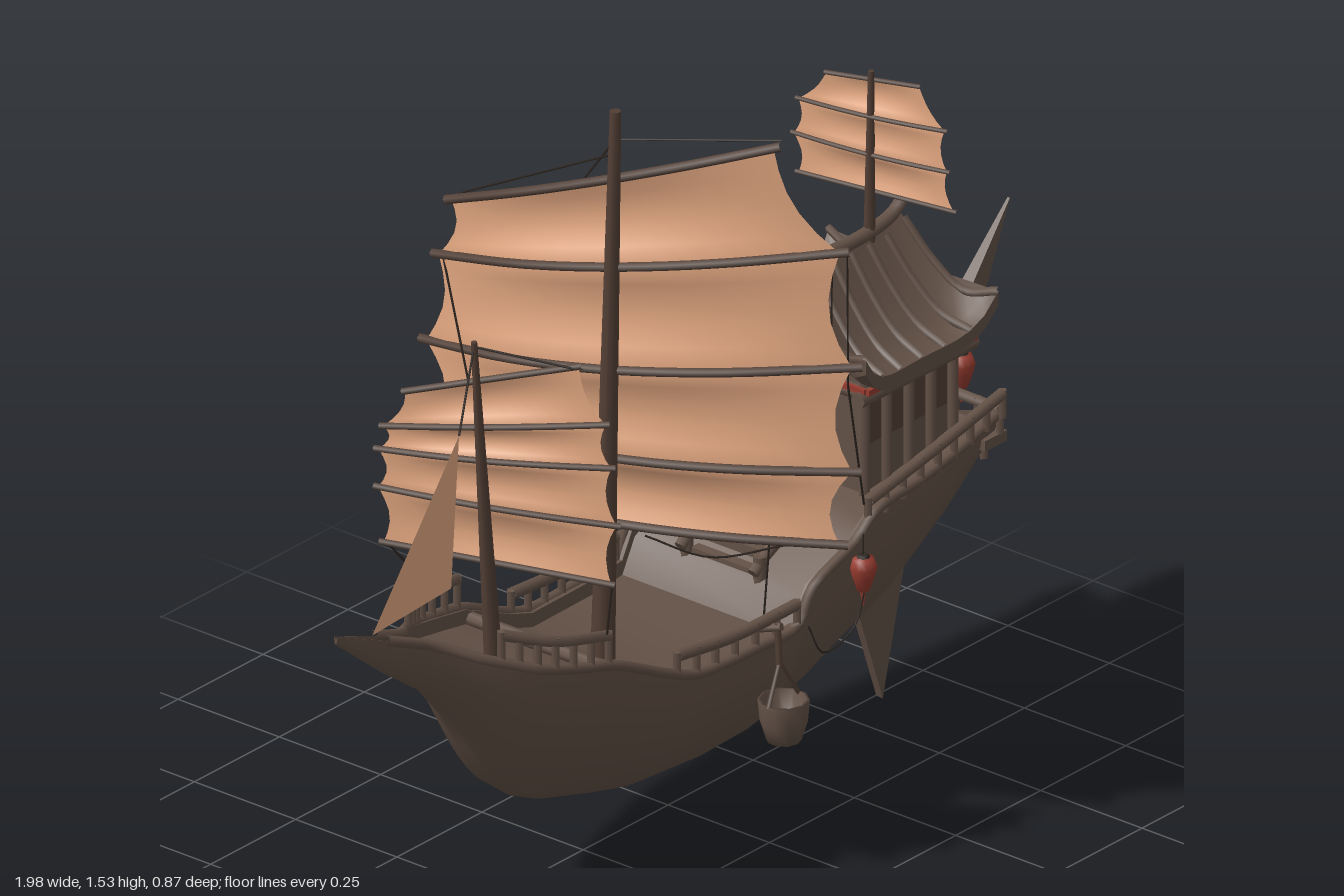
import * as THREE from 'three';
import { toCreasedNormals } from 'three/addons/utils/BufferGeometryUtils.js';

const V = (x, y, z) => new THREE.Vector3(x, y, z);
const material = (name, color, side = THREE.FrontSide) => {
  const m = new THREE.MeshStandardMaterial({ color, side });
  m.name = name;
  return m;
};

export function createModel() {
  const root = new THREE.Group();
  root.name = 'junkShip';
  const wood = material('hull wood', 0x645247);
  const darkWood = material('spar wood', 0x523f35);
  const cloth = material('sail cloth', 0xe6aa83, THREE.DoubleSide);
  const red = material('lantern red', 0x963b2f);
  const black = material('rope', 0x2e2621);

  const group = (name, parent) => {
    const g = new THREE.Group();
    g.name = name;
    parent.add(g);
    return g;
  };
  // the centre plane of the ship lies slightly to the +z side
  const ship = group('ship', root);
  ship.position.z = 0.01;
  const add = (name, geo, mat, parent = ship) => {
    const mesh = new THREE.Mesh(geo, mat);
    mesh.name = name;
    parent.add(mesh);
    return mesh;
  };
  const box = (name, x0, x1, y0, y1, z0, z1, mat, parent) => add(name,
    new THREE.BoxGeometry(x1 - x0, y1 - y0, z1 - z0).translate((x0 + x1) / 2, (y0 + y1) / 2, (z0 + z1) / 2), mat, parent);
  // tapered round bar between two points
  const bar = (name, a, b, r0, r1, mat, parent, sides = 7) => {
    const d = b.clone().sub(a);
    const m = add(name, new THREE.CylinderGeometry(r1, r0, d.length(), sides), mat, parent);
    m.position.copy(a).addScaledVector(d, 0.5);
    m.quaternion.setFromUnitVectors(V(0, 1, 0), d.normalize());
  };
  const tube = (name, pts, r, mat, parent, sides = 6) =>
    add(name, new THREE.TubeGeometry(new THREE.CatmullRomCurve3(pts), pts.length * 4, r, sides), mat, parent);
  // closed skin over loops that run +z, bottom, -z, top, stacked along +x
  const loft = (loops, crease) => {
    const n = loops[0].length, pos = loops.flat().flatMap(p => [p.x, p.y, p.z]), idx = [];
    for (let i = 0; i < loops.length - 1; i++) for (let j = 0; j < n; j++) {
      const a = i * n + j, b = i * n + (j + 1) % n;
      idx.push(a, b, a + n, b, b + n, a + n);
    }
    [0, loops.length - 1].forEach((r, end) => {
      const c = loops[r].reduce((s, p) => s.add(p), V(0, 0, 0)).divideScalar(n);
      const k = pos.length / 3;
      pos.push(c.x, c.y, c.z);
      for (let j = 0; j < n; j++) {
        const a = r * n + j, b = r * n + (j + 1) % n;
        idx.push(k, end ? a : b, end ? b : a);
      }
    });
    const g = new THREE.BufferGeometry();
    g.setAttribute('position', new THREE.Float32BufferAttribute(pos, 3));
    g.setIndex(idx);
    return toCreasedNormals(g, crease);
  };

  // hull stations: x, keel height, sheer height, half width
  const stations = [
    [-0.99, 0.725, 0.742, 0.004], [-0.86, 0.62, 0.69, 0.016], [-0.75, 0.54, 0.645, 0.04], [-0.67, 0.45, 0.605, 0.1],
    [-0.62, 0.37, 0.585, 0.13], [-0.57, 0.285, 0.565, 0.157], [-0.48, 0.215, 0.54, 0.178], [-0.4, 0.178, 0.52, 0.19],
    [-0.25, 0.135, 0.45, 0.205], [-0.18, 0.118, 0.425, 0.21], [0, 0.105, 0.42, 0.22], [0.1, 0.11, 0.425, 0.225],
    [0.14, 0.117, 0.49, 0.228], [0.26, 0.145, 0.545, 0.233], [0.32, 0.165, 0.59, 0.235], [0.45, 0.245, 0.605, 0.235],
    [0.57, 0.38, 0.625, 0.233], [0.69, 0.53, 0.65, 0.225]];
  const hullLoops = stations.map(([x, k, t, w]) => {
    const loop = [], N = 20, vee = 1.45 - 0.8 * THREE.MathUtils.smoothstep(x, 0.3, 0.69);
    for (let j = 0; j <= N; j++) {
      const a = (1 - 2 * j / N) * Math.PI / 2, s = Math.abs(Math.sin(a));
      loop.push(V(x, k + (t - k) * (1 - Math.cos(a)), Math.sign(a) * w * Math.pow(s, vee)));
    }
    const inner = w * 0.92, deck = t - Math.min(0.03, (t - k) * 0.3);
    loop.push(V(x, t, -inner), V(x, deck, -inner), V(x, deck, inner), V(x, t, inner));
    return loop;
  });
  add('hull', loft(hullLoops, 0.7), wood);
  for (const s of [1, -1]) tube('gunwale', stations.slice(1).map(([x, , t, w]) => V(x, t, s * w)), 0.011, wood);

  // railings: top bar and posts along a path
  const railing = (name, pts, height, posts) => {
    const g = group(name, ship), path = new THREE.CatmullRomCurve3(pts), up = V(0, height, 0);
    tube('topRail', pts.map(p => p.clone().add(up)), 0.012, wood, g);
    for (let i = 0; i <= posts; i++) {
      const p = path.getPoint(i / posts);
      bar('post', p, p.clone().add(up).add(V(0, 0.008, 0)), 0.01, 0.01, wood, g, 4);
    }
  };
  for (const s of [1, -1]) {
    railing('foreRailing', [V(-0.64, 0.585, s * 0.115), V(-0.54, 0.55, s * 0.165), V(-0.41, 0.52, s * 0.187)], 0.065, 6);
    railing('waistRailing', [V(-0.23, 0.435, s * 0.205), V(-0.07, 0.42, s * 0.214), V(0.1, 0.425, s * 0.224)], 0.045, 6);
    railing('aftRailing', [V(0.3, 0.565, s * 0.232), V(0.5, 0.605, s * 0.236), V(0.69, 0.645, s * 0.236)], 0.05, 8);
  }
  railing('sternRailing', [V(0.69, 0.61, 0.23), V(0.7, 0.605, 0), V(0.69, 0.61, -0.23)], 0.05, 8);
  railing('sternGallery', [V(0.69, 0.545, 0.19), V(0.695, 0.54, 0), V(0.69, 0.545, -0.19)], 0.055, 8);
  box('sternSill', 0.64, 0.705, 0.59, 0.612, -0.235, 0.235, wood);
  bar('foredeckBeam', V(-0.39, 0.5, -0.17), V(-0.39, 0.5, 0.17), 0.014, 0.014, wood);
  // pale cloth laid over the after rail
  bar('railCloth', V(0.33, 0.634, -0.237), V(0.56, 0.678, -0.239), 0.008, 0.006, cloth);

  // ladder to the after deck
  for (let i = 0; i < 6; i++)
    box('step', 0.15 + i * 0.034, 0.185 + i * 0.034, 0.42 + i * 0.025, 0.475 + i * 0.025, -0.08, 0.08, wood);
  for (const s of [1, -1]) {
    bar('ladderRail', V(0.13, 0.48, s * 0.09), V(0.36, 0.64, s * 0.09), 0.012, 0.012, wood);
    bar('ladderPost', V(0.15, 0.4, s * 0.09), V(0.15, 0.51, s * 0.09), 0.013, 0.013, wood);
  }

  // after cabin, its walls rising into the gable
  const cabin = group('cabin', ship);
  const wall = new THREE.Shape([[-0.145, 0.55], [0.145, 0.55], [0.145, 0.815], [0, 0.945], [-0.145, 0.815]].map(p => new THREE.Vector2(...p)));
  add('walls', new THREE.ExtrudeGeometry(wall, { depth: 0.25, bevelEnabled: false }).rotateY(Math.PI / 2).translate(0.39, 0, 0), wood, cabin);
  for (const s of [1, -1]) {
    for (let i = 0; i < 5; i++) {
      const x = 0.385 + i * 0.065;
      bar('wallPost', V(x, 0.57, s * 0.152), V(x, 0.82, s * 0.152), 0.011, 0.011, wood, cabin, 6);
      if (i < 4) box('windowPanel', x + 0.015, x + 0.05, 0.67, 0.76, s * 0.147 - 0.003, s * 0.147 + 0.003, darkWood, cabin);
    }
    bar('sideBeam', V(0.35, 0.785, s * 0.165), V(0.69, 0.785, s * 0.165), 0.016, 0.016, wood, cabin);
    box('redTrim', 0.36, 0.68, 0.796, 0.808, s * 0.18 - 0.004, s * 0.18 + 0.004, red, cabin);
    const x = s > 0 ? 0.65 : 0.38;
    bar('endBeam', V(x, 0.785, -0.165), V(x, 0.785, 0.165), 0.016, 0.016, wood, cabin);
    box('endTrim', x + s * 0.02 - 0.004, x + s * 0.02 + 0.004, 0.796, 0.808, -0.175, 0.175, red, cabin);
    box('endPanel', x - s * 0.012, x - s * 0.006, 0.64, 0.75, -0.05, 0.05, darkWood, cabin);
  }

  // sweeping roof with raised corners
  const roofPoint = (u, v, drop = 0) => V(0.515 + u * (0.15 + 0.045 * Math.abs(v)),
    0.82 + 0.18 * Math.pow(1 - Math.abs(v), 1.7) + 0.055 * u ** 4 * v ** 4 + 0.02 * u ** 6 - drop, v * (0.185 + 0.025 * u * u));
  const roofLoops = [];
  for (let i = 0; i <= 12; i++) {
    const loop = [];
    for (let k = 0; k <= 12; k++) loop.push(roofPoint(i / 6 - 1, 1 - k / 6, 0.03));
    for (let k = 0; k <= 12; k++) loop.push(roofPoint(i / 6 - 1, k / 6 - 1));
    roofLoops.push(loop);
  }
  add('roof', loft(roofLoops, 0.6), wood, cabin);
  tube('ridge', [-1, -0.8, 0, 0.8, 1].map(u => V(0.525 + u * 0.15, 1 + 0.035 * u ** 4, 0)), 0.014, wood, cabin);
  for (const s of [1, -1]) for (let i = 0; i < 7; i++)
    tube('roofRib', [0.05, 0.35, 0.65, 1].map(v => roofPoint(i / 3 - 1, s * v)), 0.009, wood, cabin, 5);

  // flat plates in the centre plane, tapered by a rule of x
  const plate = (name, pts, half, mat) => {
    const g = new THREE.ExtrudeGeometry(new THREE.Shape(pts.map(p => new THREE.Vector2(...p))), { depth: 1, bevelEnabled: false });
    const p = g.attributes.position;
    for (let i = 0; i < p.count; i++) p.setZ(i, (p.getZ(i) - 0.5) * 2 * half(p.getX(i)));
    g.computeVertexNormals();
    add(name, g, mat);
  };
  plate('sternBoom', [[0.6, 0.58], [0.69, 0.57], [0.75, 0.62], [0.84, 0.675], [0.92, 0.775], [0.99, 0.92], [0.87, 0.79], [0.79, 0.72], [0.68, 0.685], [0.6, 0.66]],
    x => 0.003 + 0.085 * Math.max(0, 0.99 - x), wood);
  plate('rudder', [[0.57, 0.43], [0.54, 0.21], [0.61, 0.01], [0.68, 0.295], [0.62, 0.37], [0.61, 0.45]], () => 0.008, wood);
  plate('sternpost', [[0.5, 0.3], [0.56, 0.34], [0.64, 0.44], [0.71, 0.56], [0.7, 0.62], [0.62, 0.55]], () => 0.014, wood);
  bar('rudderBrace', V(0.44, 0.27, 0), V(0.56, 0.21, 0), 0.012, 0.009, wood);
  bar('rudderBrace', V(0.5, 0.33, 0), V(0.58, 0.28, 0), 0.012, 0.009, wood);

  // battened sails; each batten is +z end z, y then -z end z, y
  const sail = (name, battens, curve, billow, thick) => {
    const g = group(name, ship), sub = 5, cols = 14, rows = (battens.length - 1) * sub;
    const at = (row, c) => {
      const i = Math.min(Math.floor(row / sub), battens.length - 2), t = row / sub - i;
      const e = battens[i].map((n, k) => n + (battens[i + 1][k] - n) * t);
      const puff = Math.sin(Math.PI * t), v = 0.5 + (c - 0.5) * (1 - 0.07 * puff);
      const z = e[0] + (e[2] - e[0]) * v;
      const belly = billow * Math.sin(Math.PI * v) * (puff - 0.8 * Math.sin(Math.PI * row / rows));
      return V(curve(z) + belly, e[1] + (e[3] - e[1]) * v, z);
    };
    const geo = new THREE.PlaneGeometry(1, 1, cols, rows), p = geo.attributes.position;
    for (let r = 0, k = 0; r <= rows; r++) for (let c = 0; c <= cols; c++, k++) {
      const q = at(r, c / cols);
      p.setXYZ(k, q.x, q.y, q.z);
    }
    geo.computeVertexNormals();
    add('sailCloth', geo, cloth, g);
    battens.forEach((b, i) =>
      tube('batten', [-0.02, 0.25, 0.5, 0.75, 1.02].map(c => at(i * sub, c)), thick, darkWood, g));
  };
  sail('mainSail', [[0.28, 1.5, -0.36, 1.26], [0.39, 1.29, -0.39, 1.135], [0.41, 1.05, -0.42, 0.945], [0.41, 0.83, -0.39, 0.79], [0.39, 0.675, -0.35, 0.655]],
    z => -0.155 + 0.32 * z + 0.38 * z * z, 0.03, 0.01);
  sail('foreSail', [[0.16, 1.165, -0.16, 1.06], [0.21, 1.05, -0.2, 0.98], [0.22, 0.96, -0.21, 0.93], [0.23, 0.84, -0.21, 0.85], [0.22, 0.715, -0.2, 0.735]],
    z => -0.53 + 0.4 * z, 0.02, 0.007);
  sail('aftSail', [[0.1, 1.33, -0.1, 1.31], [0.155, 1.25, -0.16, 1.24], [0.16, 1.165, -0.17, 1.165], [0.175, 1.085, -0.16, 1.085]],
    z => 0.59 + 0.17 * z, 0.014, 0.005);
  const jib = new THREE.BufferGeometry().setFromPoints([V(-0.93, 0.735, 0.04), V(-0.68, 0.735, 0.025), V(-0.645, 1.04, 0.015)]);
  jib.computeVertexNormals();
  add('jib', jib, cloth);

  // masts
  bar('mainMast', V(-0.205, 0.38, 0), V(-0.167, 1.54, 0), 0.024, 0.011, darkWood, ship, 10);
  bar('foreMast', V(-0.525, 0.5, 0), V(-0.583, 1.21, 0), 0.018, 0.006, darkWood, ship, 10);
  bar('aftMast', V(0.58, 0.97, 0), V(0.585, 1.34, 0), 0.012, 0.006, darkWood, ship, 8);

  // rigging
  const ropes = group('rigging', ship);
  [[-0.167, 1.48, 0, 0, 1.5, 0.27], [-0.167, 1.45, 0, -0.2, 1.27, -0.35], [-0.167, 1.48, 0, -0.17, 1.34, -0.1],
    [0.05, 1.29, 0.39, 0.16, 0.93, 0.3], [0.16, 0.93, 0.3, 0.29, 0.61, 0.23], [-0.22, 1.13, -0.38, -0.28, 0.66, -0.2],
    [-0.01, 0.67, 0.25, 0.03, 0.45, 0.2], [-0.17, 1.2, 0, 0.02, 0.45, -0.2], [-0.583, 1.2, 0, -0.645, 1.04, 0.015],
    [-0.583, 1.2, 0, -0.47, 1.16, 0.16], [-0.44, 0.71, 0.22, -0.42, 0.58, 0.19],
    [-0.6, 0.73, -0.2, -0.5, 0.6, -0.17], [0.03, 1.29, 0.37, 0.02, 0.68, 0.37]
  ].forEach(([a, b, c, d, e, f]) => bar('rope', V(a, b, c), V(d, e, f), 0.0022, 0.0022, black, ropes, 4));
  tube('slackRope', [V(-0.14, 0.65, 0.05), V(-0.07, 0.61, 0.15), V(0, 0.65, 0.28)], 0.0022, black, ropes, 4);
  tube('slackRope', [V(0.12, 0.42, 0.235), V(0.16, 0.35, 0.24), V(0.24, 0.38, 0.25), V(0.27, 0.45, 0.25)], 0.0022, black, ropes, 4);

  // buckets slung over both sides
  for (const s of [1, -1]) {
    const b = group('bucket', ship);
    const profile = [[0, 0.22], [0.034, 0.22], [0.046, 0.26], [0.05, 0.305], [0.044, 0.305], [0.03, 0.24], [0, 0.24]];
    add('tub', new THREE.LatheGeometry(profile.map(p => new THREE.Vector2(...p)), 10).translate(0.03, 0, s * 0.25), wood, b);
    bar('davit', V(0.02, 0.44, s * 0.19), V(0.03, 0.455, s * 0.245), 0.01, 0.008, wood, b);
    for (const e of [1, -1]) bar('sling', V(0.03 + e * 0.045, 0.3, s * 0.25), V(0.03, 0.38, s * 0.24), 0.005, 0.004, darkWood, b, 5);
    bar('hoist', V(0.03, 0.37, s * 0.24), V(0.03, 0.46, s * 0.235), 0.007, 0.007, darkWood, b, 5);
  }

  // hanging lanterns
  for (const [x, y, z, top] of [[0.845, 0.615, 0.005, 0.69], [0.27, 0.48, 0.245, 0.56]]) {
    const l = group('lantern', ship);
    const profile = [[0, -0.04], [0.012, -0.038], [0.022, -0.008], [0.027, 0.012], [0.021, 0.03], [0, 0.036]];
    add('shade', new THREE.LatheGeometry(profile.map(p => new THREE.Vector2(...p)), 10).translate(x, y, z), red, l);
    bar('cap', V(x, y + 0.03, z), V(x, y + 0.038, z), 0.015, 0.01, black, l);
    bar('cord', V(x, y + 0.03, z), V(x, top, z), 0.0022, 0.0022, black, l, 4);
    bar('tassel', V(x, y - 0.07, z), V(x, y - 0.035, z), 0.002, 0.007, red, l, 5);
  }
  return root;
}
